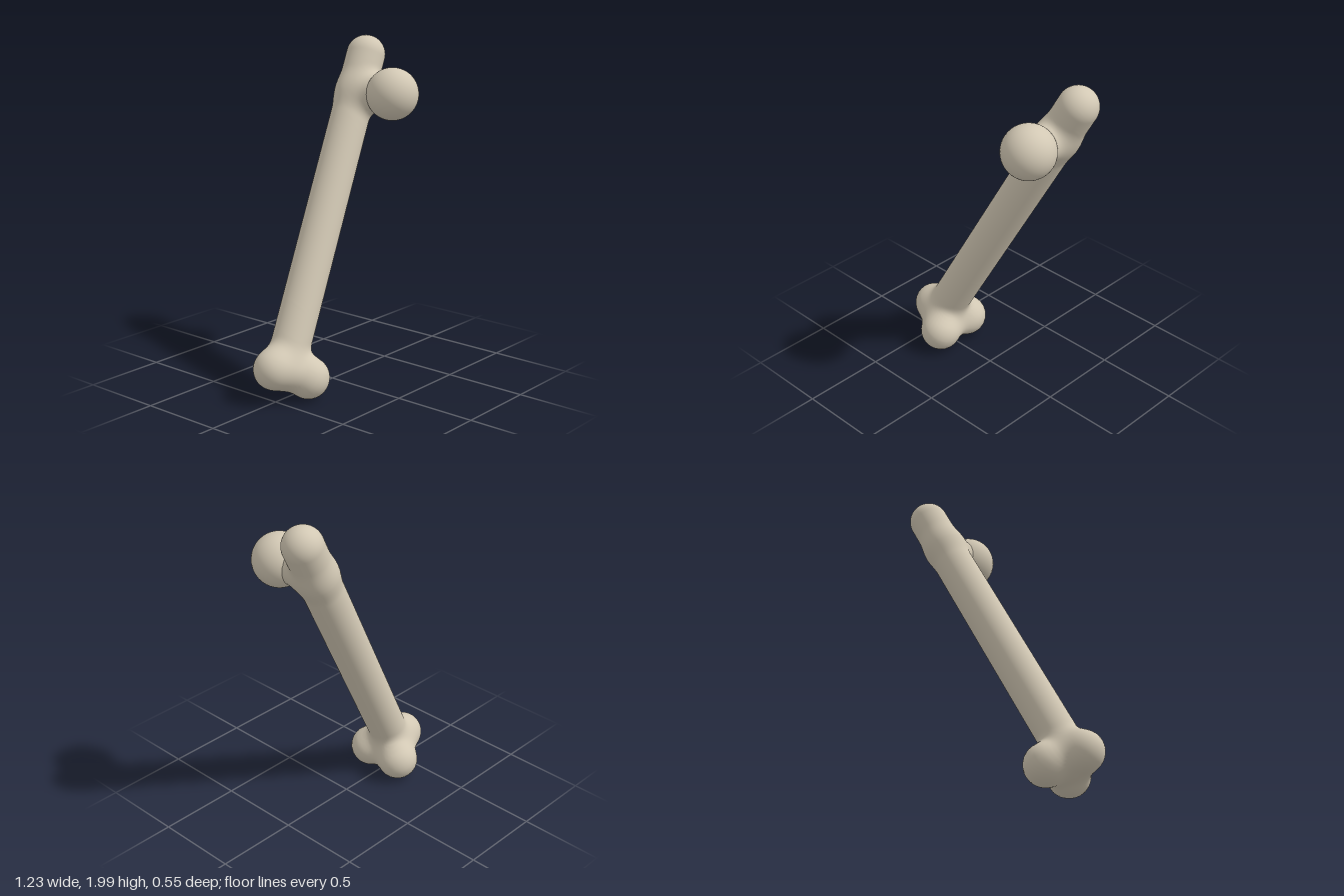
import * as THREE from 'three';
import { mergeVertices } from 'three/addons/utils/BufferGeometryUtils.js';

const V = (x, y, z) => new THREE.Vector3(x, y, z);

// Shaft axis, ball joint and the three knuckles at the lower end
const LOWER = V(-0.41, 0.2, -0.005);
const UPPER = V(0.495, 1.882, -0.16);
const BALL = V(0.4, 1.682, 0.118);
const NECK_ROOT = V(0.38, 1.667, -0.14);
const NECK_TIP = NECK_ROOT.clone().lerp(BALL, 0.7);
const KNUCKLES = [
  { c: V(-0.498, 0.205, -0.01), r: 0.12 },
  { c: V(-0.33, 0.133, 0.1), r: 0.123 },
  { c: V(-0.33, 0.133, -0.122), r: 0.123 },
];

// Distance to a round-ended rod
function rod(p, a, b, r) {
  const ab = b.clone().sub(a);
  const ap = p.clone().sub(a);
  const t = THREE.MathUtils.clamp(ap.dot(ab) / ab.lengthSq(), 0, 1);
  return ap.addScaledVector(ab, -t).length() - r;
}

// Soft union, so that parts flow into one another
function blend(a, b, k) {
  const h = Math.max(k - Math.abs(a - b), 0) / k;
  return Math.min(a, b) - h * h * k * 0.25;
}

function boneDistance(p) {
  let knuckles = Infinity;
  for (const { c, r } of KNUCKLES) {
    const d = p.distanceTo(c) - r;
    knuckles = knuckles === Infinity ? d : blend(knuckles, d, 0.09);
  }
  let d = blend(rod(p, LOWER, UPPER, 0.116), knuckles, 0.07);
  return blend(d, rod(p, NECK_ROOT, NECK_TIP, 0.106), 0.07);
}

// Walk inwards along a ray until it meets the surface
function surfacePoint(origin, dir) {
  const p = V(0, 0, 0);
  let t = 0.55;
  for (let i = 0; i < 60; i++) {
    p.copy(origin).addScaledVector(dir, t);
    const d = boneDistance(p);
    if (d < 0.0003) break;
    t = Math.max(t - d, 0.02);
  }
  return p;
}

// Closed skin of rings: lower cap, shaft, upper cap
function skinGeometry(sides = 56, capRings = 20, shaftRings = 170) {
  const axis = UPPER.clone().sub(LOWER).normalize();
  const side = axis.clone().cross(V(0, 0, 1)).normalize();
  const front = axis.clone().cross(side);

  const stations = [];
  for (let i = 0; i < capRings; i++) {
    stations.push([0, (i / capRings - 1) * Math.PI / 2]);
  }
  for (let i = 0; i <= shaftRings; i++) stations.push([i / shaftRings, 0]);
  for (let i = 1; i <= capRings; i++) {
    stations.push([1, (i / capRings) * Math.PI / 2]);
  }

  const positions = [];
  const index = [];
  stations.forEach(([along, tilt], i) => {
    const origin = LOWER.clone().lerp(UPPER, along);
    for (let j = 0; j < sides; j++) {
      const a = (j / sides) * Math.PI * 2;
      const dir = side.clone().multiplyScalar(Math.cos(a) * Math.cos(tilt))
        .addScaledVector(front, Math.sin(a) * Math.cos(tilt))
        .addScaledVector(axis, Math.sin(tilt));
      positions.push(...surfacePoint(origin, dir).toArray());
      if (i + 1 < stations.length) {
        const p = i * sides + j;
        const q = i * sides + (j + 1) % sides;
        index.push(p, q, p + sides, q, q + sides, p + sides);
      }
    }
  });

  const geometry = new THREE.BufferGeometry();
  geometry.setAttribute('position', new THREE.Float32BufferAttribute(positions, 3));
  geometry.setIndex(index);
  const merged = mergeVertices(geometry, 1e-5);
  merged.computeVertexNormals();
  return merged;
}

export function createModel() {
  const bone = new THREE.MeshStandardMaterial({ color: 0xd2c8b4 });
  bone.name = 'bone';

  const group = new THREE.Group();
  group.name = 'thighBone';

  // Shaft with rounded top, neck and lower knuckles
  const shaft = new THREE.Mesh(skinGeometry(), bone);
  shaft.name = 'shaftAndKnuckles';
  group.add(shaft);

  // Ball of the hip joint
  const ball = new THREE.Mesh(new THREE.SphereGeometry(0.155, 40, 28), bone);
  ball.name = 'ballJoint';
  ball.position.copy(BALL);
  group.add(ball);

  return group;
}
